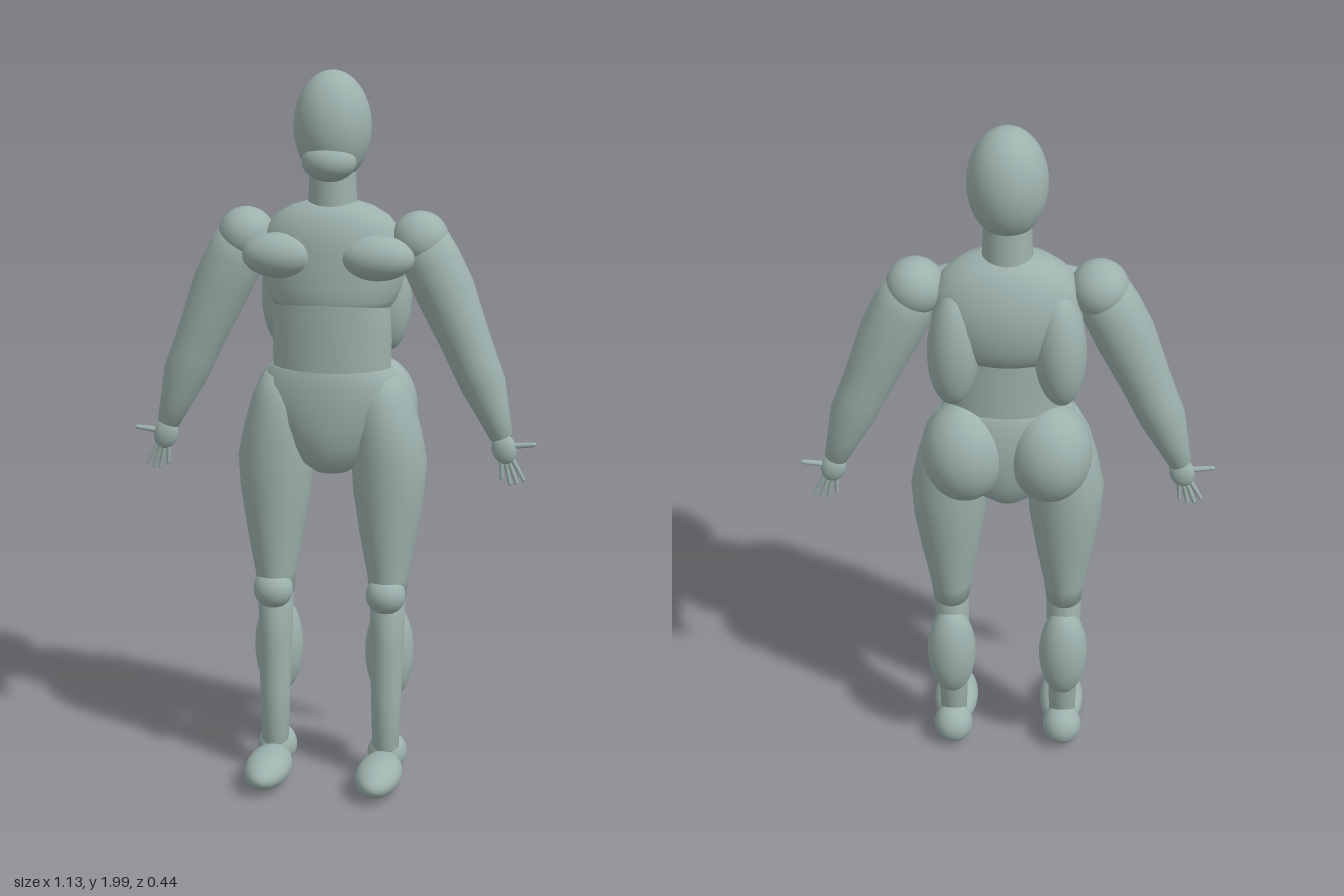
import * as THREE from 'three';

const skin = new THREE.MeshStandardMaterial({ color: 0x9db1ad });
skin.name = 'greyGreen';

// Smooth body of oval rings; each ring is [x, y, z, halfWidth, halfDepth]
function loft(rings, sides = 32) {
  const pos = [], index = [];
  rings.forEach((r, i) => {
    const p = rings[Math.max(i - 1, 0)], q = rings[Math.min(i + 1, rings.length - 1)];
    const t = new THREE.Vector2(q[0] - p[0], q[1] - p[1]).normalize();
    for (let j = 0; j < sides; j++) {
      const a = (j / sides) * Math.PI * 2, w = Math.cos(a) * r[3];
      pos.push(r[0] - t.y * w, r[1] + t.x * w, r[2] + Math.sin(a) * r[4]);
      if (i === 0) continue;
      const k = (j + 1) % sides, u = (i - 1) * sides, d = i * sides;
      index.push(u + j, u + k, d + j, u + k, d + k, d + j);
    }
  });
  const g = new THREE.BufferGeometry();
  g.setAttribute('position', new THREE.Float32BufferAttribute(pos, 3));
  g.setIndex(index);
  g.computeVertexNormals();
  return g;
}

function add(parent, name, geometry) {
  const mesh = new THREE.Mesh(geometry, skin);
  mesh.name = name;
  parent.add(mesh);
  return mesh;
}

function ellipsoid(parent, name, center, radii) {
  const mesh = add(parent, name, new THREE.SphereGeometry(1, 40, 28));
  mesh.position.set(...center);
  mesh.scale.set(...radii);
  return mesh;
}

// Thin tapered rod between two points, with a round tip
function digit(parent, name, from, to, radius) {
  const a = new THREE.Vector3(...from), b = new THREE.Vector3(...to);
  const dir = b.clone().sub(a);
  const rod = add(parent, name, new THREE.CylinderGeometry(radius * 0.7, radius, dir.length(), 10));
  rod.position.copy(a).add(b).multiplyScalar(0.5);
  rod.quaternion.setFromUnitVectors(new THREE.Vector3(0, 1, 0), dir.normalize());
  ellipsoid(parent, name + 'Tip', to, [radius * 0.7, radius * 0.7, radius * 0.7]);
}

function buildArm(s) {
  const arm = new THREE.Group();
  arm.name = s > 0 ? 'leftArm' : 'rightArm';
  const z = -0.054;
  ellipsoid(arm, 'shoulder', [s * 0.24, 1.55, z], [0.078, 0.077, 0.08]);
  add(arm, 'armLength', loft([
    [0.235, 1.57, z, 0, 0], [0.24, 1.56, z, 0.07, 0.07], [0.272, 1.49, z, 0.08, 0.078],
    [0.31, 1.41, z, 0.081, 0.079], [0.365, 1.28, z, 0.069, 0.069], [0.392, 1.215, z, 0.065, 0.066],
    [0.418, 1.155, z, 0.062, 0.062], [0.445, 1.08, z, 0.046, 0.046], [0.47, 1.01, z, 0.031, 0.031],
    [0.471, 1.007, z, 0, 0],
  ].map(r => [s * r[0], ...r.slice(1)])));

  // Hand lies flat in the plane of the arm, thumb outward
  const palm = ellipsoid(arm, 'palm', [s * 0.477, 0.978, z], [0.034, 0.045, 0.022]);
  palm.rotation.z = s * 0.3;
  [[0.497, 0.955, 0.532, 0.893], [0.49, 0.945, 0.514, 0.882],
    [0.482, 0.943, 0.495, 0.88], [0.47, 0.95, 0.472, 0.893]].forEach(([x, y, tx, ty], i) =>
    digit(arm, 'finger' + (i + 1), [s * x, y, z], [s * tx, ty, z], 0.0075));
  digit(arm, 'thumb', [s * 0.485, 0.985, z], [s * 0.56, 0.993, z], 0.009);
  return arm;
}

function buildLeg(s) {
  const leg = new THREE.Group();
  leg.name = s > 0 ? 'leftLeg' : 'rightLeg';
  const x = s * 0.16;
  add(leg, 'thigh', loft([
    [s * 0.125, 1.18, -0.05, 0, 0], [s * 0.128, 1.165, -0.05, 0.06, 0.07],
    [s * 0.138, 1.1, -0.05, 0.085, 0.1], [s * 0.15, 1.01, -0.05, 0.098, 0.108],
    [s * 0.16, 0.93, -0.05, 0.105, 0.108], [x, 0.84, -0.049, 0.099, 0.102],
    [x, 0.72, -0.045, 0.08, 0.09], [x, 0.6, -0.041, 0.057, 0.077],
    [x, 0.54, -0.038, 0.051, 0.065], [x, 0.53, -0.038, 0, 0],
  ]));
  add(leg, 'shin', loft([
    [x, 0.57, -0.038, 0, 0], [x, 0.56, -0.038, 0.05, 0.063], [x, 0.4, -0.03, 0.047, 0.055],
    [x, 0.25, -0.02, 0.043, 0.045], [x, 0.1, -0.016, 0.038, 0.04], [x, 0.06, -0.016, 0, 0],
  ]));
  ellipsoid(leg, 'kneecap', [x, 0.555, 0], [0.056, 0.055, 0.052]);
  ellipsoid(leg, 'calf', [x, 0.365, -0.077], [0.069, 0.145, 0.064]);
  ellipsoid(leg, 'heel', [x, 0.07, -0.048], [0.056, 0.06, 0.06]);
  ellipsoid(leg, 'foot', [s * 0.158, 0.056, 0.092], [0.064, 0.049, 0.127]);
  return leg;
}

export function createModel() {
  const body = new THREE.Group();
  body.name = 'figure';

  // Head and neck
  ellipsoid(body, 'head', [0, 1.85, -0.05], [0.105, 0.15, 0.108]);
  ellipsoid(body, 'jaw', [0, 1.762, 0.002], [0.074, 0.055, 0.062]);
  add(body, 'neck', loft([
    [0, 1.78, -0.053, 0.062, 0.062], [0, 1.69, -0.053, 0.064, 0.065], [0, 1.6, -0.055, 0.07, 0.068],
  ]));

  // Torso
  add(body, 'chest', loft([
    [0, 1.655, -0.056, 0, 0], [0, 1.65, -0.056, 0.065, 0.055], [0, 1.635, -0.056, 0.115, 0.078],
    [0, 1.61, -0.057, 0.155, 0.096], [0, 1.57, -0.059, 0.187, 0.114], [0, 1.52, -0.062, 0.2, 0.122],
    [0, 1.47, -0.062, 0.2, 0.124], [0, 1.42, -0.058, 0.19, 0.121], [0, 1.385, -0.053, 0.176, 0.114],
    [0, 1.36, -0.048, 0.158, 0.102], [0, 1.35, -0.045, 0, 0],
  ], 48));
  add(body, 'waist', loft([
    [0, 1.42, -0.043, 0.155, 0.102], [0, 1.35, -0.043, 0.162, 0.103], [0, 1.27, -0.043, 0.165, 0.102],
    [0, 1.15, -0.045, 0.162, 0.102],
  ], 48));
  add(body, 'pelvis', loft([
    [0, 1.215, -0.045, 0, 0], [0, 1.21, -0.045, 0.15, 0.096], [0, 1.19, -0.046, 0.172, 0.105],
    [0, 1.15, -0.048, 0.196, 0.112], [0, 1.1, -0.05, 0.203, 0.116], [0, 1.04, -0.05, 0.178, 0.115],
    [0, 0.98, -0.05, 0.137, 0.106], [0, 0.93, -0.05, 0.094, 0.088], [0, 0.9, -0.05, 0.052, 0.056],
    [0, 0.89, -0.05, 0, 0],
  ], 48));

  // Mirrored parts
  for (const s of [1, -1]) {
    ellipsoid(body, 'breast', [s * 0.132, 1.508, 0.02], [0.104, 0.062, 0.065]);
    const lat = ellipsoid(body, 'backMuscle', [s * 0.138, 1.4, -0.112], [0.071, 0.17, 0.076]);
    lat.rotation.z = s * 0.05;
    ellipsoid(body, 'buttock', [s * 0.115, 1.07, -0.102], [0.115, 0.145, 0.115]);
    body.add(buildArm(s), buildLeg(s));
  }
  return body;
}
